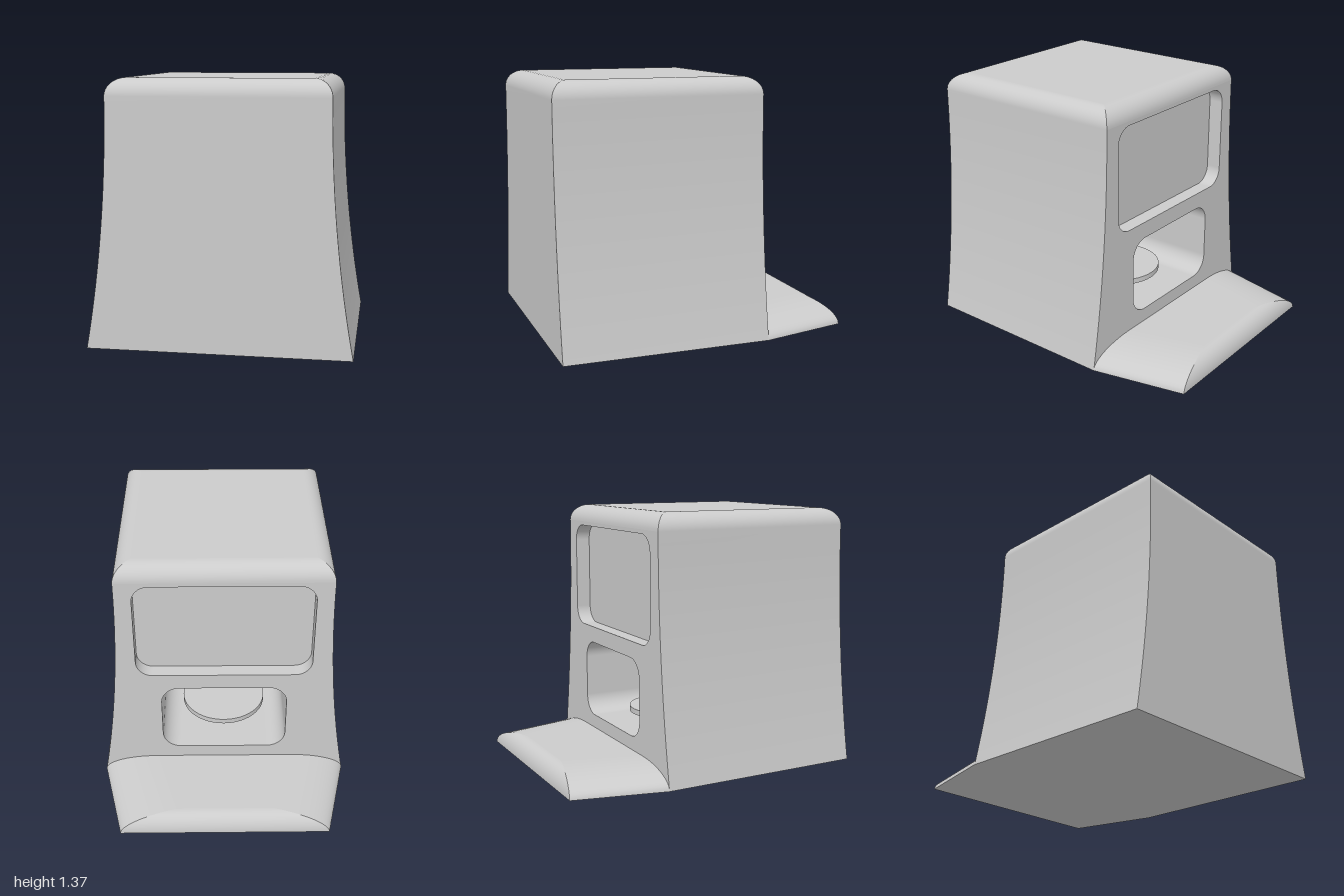
import * as THREE from 'three';

const BACK = -0.74, FRONT = 0.37, SHOULDER = 1.28, ROUND = 0.09;
const LIP_HEIGHT = 0.1;
const material = new THREE.MeshStandardMaterial({ color: 0xcccccc });

function addMesh(parent, name, geometry) {
  const mesh = new THREE.Mesh(geometry, material);
  mesh.name = name;
  parent.add(mesh);
  return mesh;
}

// Smooth sheet through rows of points (rows go up, points go left to right seen from outside)
function sheet(rows) {
  const n = rows[0].length, index = [];
  for (let r = 0; r < rows.length - 1; r++) {
    for (let i = 0; i < n - 1; i++) {
      const a = r * n + i, c = a + n;
      index.push(a, a + 1, c + 1, a, c + 1, c);
    }
  }
  const geometry = new THREE.BufferGeometry();
  geometry.setAttribute('position', new THREE.Float32BufferAttribute(rows.flat(2), 3));
  geometry.setIndex(index);
  geometry.computeVertexNormals();
  return geometry;
}

// Concave flare of the side walls
const halfWidth = (y) => 0.557 + 0.118 * Math.pow(1 - Math.min(y, SHOULDER) / SHOULDER, 2);

// Rectangular cross-section: front left, front right, back right, back left
function ring(y, inset) {
  const w = halfWidth(y) - inset, f = FRONT - inset, b = BACK + inset;
  return [[-w, y, f], [w, y, f], [w, y, b], [-w, y, b]];
}

function roundedRect(w, y0, y1, r) {
  const s = new THREE.Path();
  s.moveTo(0, y0);
  s.lineTo(w - r, y0);
  s.absarc(w - r, y0 + r, r, -Math.PI / 2, 0);
  s.absarc(w - r, y1 - r, r, 0, Math.PI / 2);
  s.absarc(-w + r, y1 - r, r, Math.PI / 2, Math.PI);
  s.absarc(-w + r, y0 + r, r, Math.PI, Math.PI * 1.5);
  s.lineTo(0, y0);
  return s.getPoints(10);
}

// Pocket sunk into the front wall
function addRecess(parent, name, outline, depth) {
  const loop = (z) => outline.map((p) => [p.x, p.y, z]);
  addMesh(parent, name + 'Walls', sheet([loop(FRONT), loop(FRONT - depth)]));
  const back = new THREE.ShapeGeometry(new THREE.Shape(outline));
  addMesh(parent, name + 'Back', back.translate(0, 0, FRONT - depth));
}

export function createModel() {
  const model = new THREE.Group();
  model.name = 'countertopMachine';
  const unit = new THREE.Group();
  unit.name = 'housing';
  unit.rotation.y = -Math.PI * 0.75;
  model.add(unit);

  // Flared walls, then a rounded shoulder
  const wall = [], shoulder = [];
  for (let i = 0; i <= 20; i++) wall.push(ring((i / 20) * SHOULDER, 0));
  for (let i = 0; i <= 12; i++) {
    const t = (i / 12) * Math.PI / 2;
    shoulder.push(ring(SHOULDER + ROUND * Math.sin(t), ROUND * (1 - Math.cos(t))));
  }
  ['front', 'rightSide', 'back', 'leftSide'].forEach((name, i) => {
    const rings = i === 0 ? shoulder : [...wall, ...shoulder.slice(1)];
    const geometry = sheet(rings.map((r) => [r[i], r[(i + 1) % 4]]));
    addMesh(unit, i === 0 ? 'frontShoulder' : name + 'Wall', geometry);
  });
  const [fl, fr, br, bl] = shoulder[shoulder.length - 1];
  addMesh(unit, 'topPanel', sheet([[fl, fr], [bl, br]]));

  // Front panel with two rounded openings
  const screen = roundedRect(0.468, 0.69, 1.258, 0.09);
  const bay = roundedRect(0.34, 0.175, 0.6, 0.1);
  const face = new THREE.Shape([
    ...wall.map((r) => new THREE.Vector2(r[1][0], r[1][1])),
    ...wall.map((r) => new THREE.Vector2(r[0][0], r[0][1])).reverse(),
  ]);
  face.holes.push(new THREE.Path(screen), new THREE.Path(bay));
  addMesh(unit, 'frontPanel', new THREE.ShapeGeometry(face).translate(0, 0, FRONT));
  addRecess(unit, 'screen', screen, 0.08);
  addRecess(unit, 'bay', bay, 0.74);

  // Round platform inside the bay
  addMesh(unit, 'platform', new THREE.CylinderGeometry(0.235, 0.235, 0.03, 48)).position.y = 0.235;
  addMesh(unit, 'platformStem', new THREE.CylinderGeometry(0.08, 0.08, 0.05, 32)).position.y = 0.197;

  // Tapered front lip with soft edges: wall left, front left, front right, wall right
  const lip = [];
  for (let i = 0; i <= 12; i++) {
    const t = (i / 12) * Math.PI / 2, e = 1 - Math.cos(t), y = LIP_HEIGHT * Math.sin(t);
    const inner = halfWidth(0) - 0.3 * e, outer = 0.56 - 0.3 * e, z = 0.856 - 0.08 * e;
    lip.push([[-inner, y, FRONT], [-outer, y, z], [outer, y, z], [inner, y, FRONT]]);
  }
  ['lipLeftSide', 'lipFront', 'lipRightSide'].forEach((name, i) => {
    addMesh(unit, name, sheet(lip.map((r) => [r[i], r[i + 1]])));
  });
  const [wl, ol, or, wr] = lip[lip.length - 1];
  addMesh(unit, 'lipTop', sheet([[ol, or], [wl, wr]]));

  // Flat underside of body and lip
  const w = halfWidth(0);
  const base = new THREE.Shape([
    [-w, BACK], [w, BACK], [w, FRONT], [0.56, 0.856], [-0.56, 0.856], [-w, FRONT],
  ].map(([x, z]) => new THREE.Vector2(x, z)));
  addMesh(unit, 'underside', new THREE.ShapeGeometry(base).rotateX(Math.PI / 2));

  return model;
}
